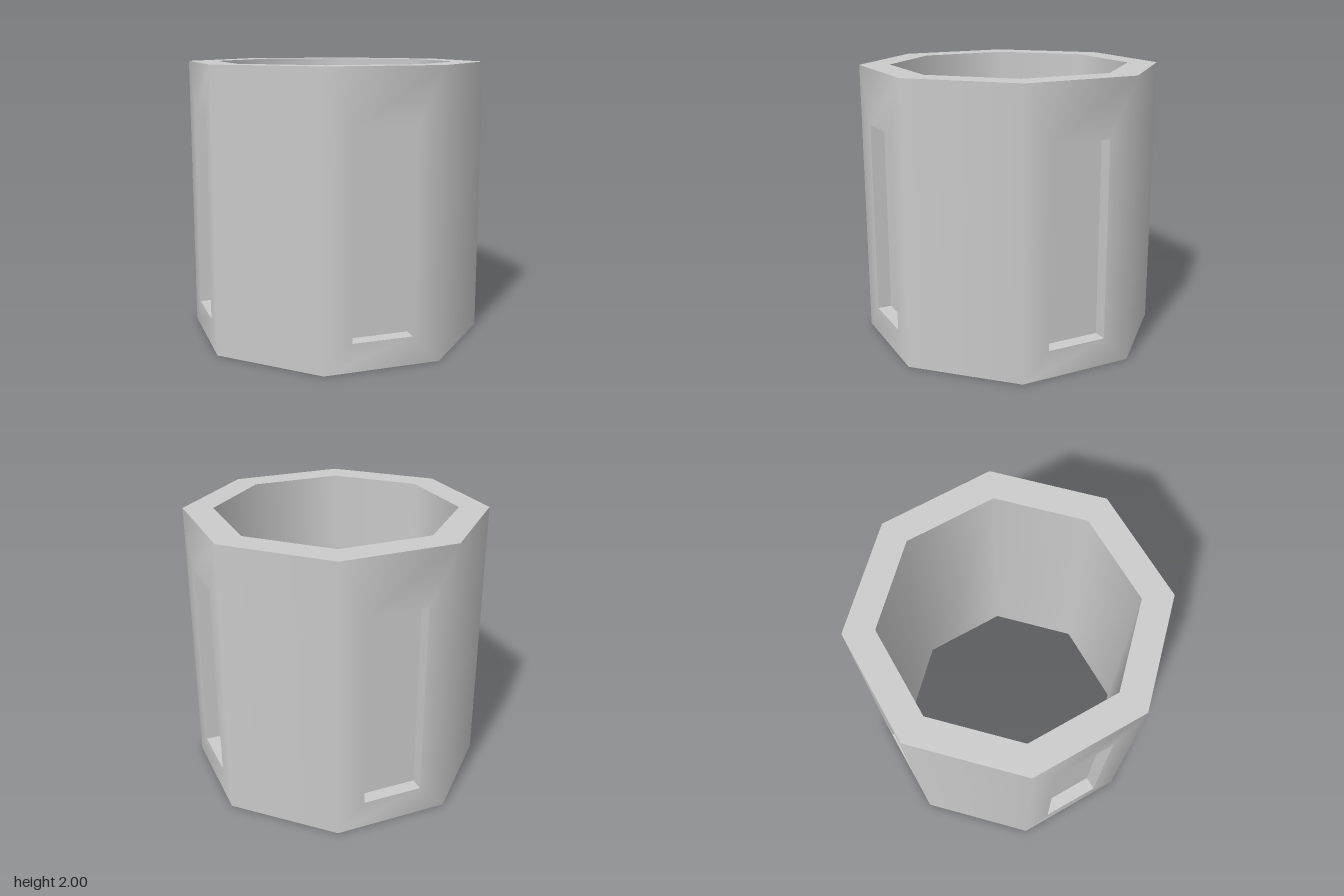
import * as THREE from 'three';

const SIDES = 8, STEP = (Math.PI * 2) / SIDES;
const HEIGHT = 2, OUTER = 1, INNER = 0.8, FLOOR = 0.9; // distances of the flats from the axis
const HALF = Math.tan(STEP / 2);                       // half a side per unit of distance

// Collects quads (counter-clockwise corners), each corner with its own normal
function quadMesh(name, material, fill) {
  const positions = [], normals = [];
  fill((points, norms) => {
    for (const i of [0, 1, 2, 0, 2, 3]) {
      positions.push(...points[i].toArray());
      normals.push(...(Array.isArray(norms) ? norms[i] : norms).toArray());
    }
  });
  const geometry = new THREE.BufferGeometry();
  geometry.setAttribute('position', new THREE.Float32BufferAttribute(positions, 3));
  geometry.setAttribute('normal', new THREE.Float32BufferAttribute(normals, 3));
  const mesh = new THREE.Mesh(geometry, material);
  mesh.name = name;
  return mesh;
}

// Horizontal direction at an angle around the axis
const dir = (a) => new THREE.Vector3(Math.sin(a), 0, Math.cos(a));

// Point on the side facing angle a: u along the side, y up, d out from the axis
const onSide = (a, u, y, d) =>
  dir(a).multiplyScalar(d).addScaledVector(dir(a + Math.PI / 2), u).setY(y);

// Rectangle corners: lower left, lower right, upper right, upper left
const rect = (u, y0, y1) => [[-u, y0], [u, y0], [u, y1], [-u, y1]];

export function createModel() {
  const group = new THREE.Group();
  group.name = 'octagonalTube';
  const grey = new THREE.MeshStandardMaterial({ color: 0xcccccc });
  grey.name = 'grey';

  const edge = rect(HALF * OUTER, 0, HEIGHT);
  const opening = rect(0.217, 0.2, 1.6);
  const angles = Array.from({ length: SIDES }, (_, i) => i * STEP);
  const up = new THREE.Vector3(0, 1, 0), down = new THREE.Vector3(0, -1, 0);

  // Outer wall, softly shaded round the corners, framing an opening on every other side
  group.add(quadMesh('outerWall', grey, (quad) => angles.forEach((a, side) => {
    const outer = edge.map(([u, y]) => onSide(a, u, y, OUTER));
    const soft = edge.map(([u]) => dir(a + Math.sign(u) * STEP / 2));
    if (side % 2) return quad(outer, soft);
    const rim = opening.map(([u, y]) => onSide(a, u, y, OUTER));
    for (let i = 0; i < 4; i++) {
      const j = (i + 1) % 4;
      quad([outer[i], outer[j], rim[j], rim[i]], [soft[i], soft[j], dir(a), dir(a)]);
    }
  })));

  // Sunken panels on the four main sides
  angles.filter((_, side) => side % 2 === 0).forEach((a, n) => {
    const right = dir(a + Math.PI / 2);
    const wallNormals = [up, right.clone().negate(), down, right];
    group.add(quadMesh('recess' + (n + 1), grey, (quad) => {
      const rim = opening.map(([u, y]) => onSide(a, u, y, OUTER));
      const back = opening.map(([u, y]) => onSide(a, u, y, FLOOR));
      quad(back, dir(a));
      for (let i = 0; i < 4; i++) {
        const j = (i + 1) % 4;
        quad([rim[i], rim[j], back[j], back[i]], wallNormals[i]);
      }
    }));
  });

  // Inner wall, facing the axis
  group.add(quadMesh('innerWall', grey, (quad) => angles.forEach((a) => {
    const corners = rect(HALF * INNER, 0, HEIGHT).reverse();
    quad(corners.map(([u, y]) => onSide(a, u, y, INNER)),
      corners.map(([u]) => dir(a + Math.sign(u) * STEP / 2).negate()));
  })));

  // Flat rims at the top and bottom
  for (const [name, y, normal] of [['topRim', HEIGHT, up], ['bottomRim', 0, down]]) {
    group.add(quadMesh(name, grey, (quad) => angles.forEach((a) => {
      const o = HALF * OUTER, i = HALF * INNER;
      const ring = [onSide(a, -o, y, OUTER), onSide(a, o, y, OUTER),
        onSide(a, i, y, INNER), onSide(a, -i, y, INNER)];
      quad(y > 0 ? ring : ring.reverse(), normal);
    })));
  }
  return group;
}
